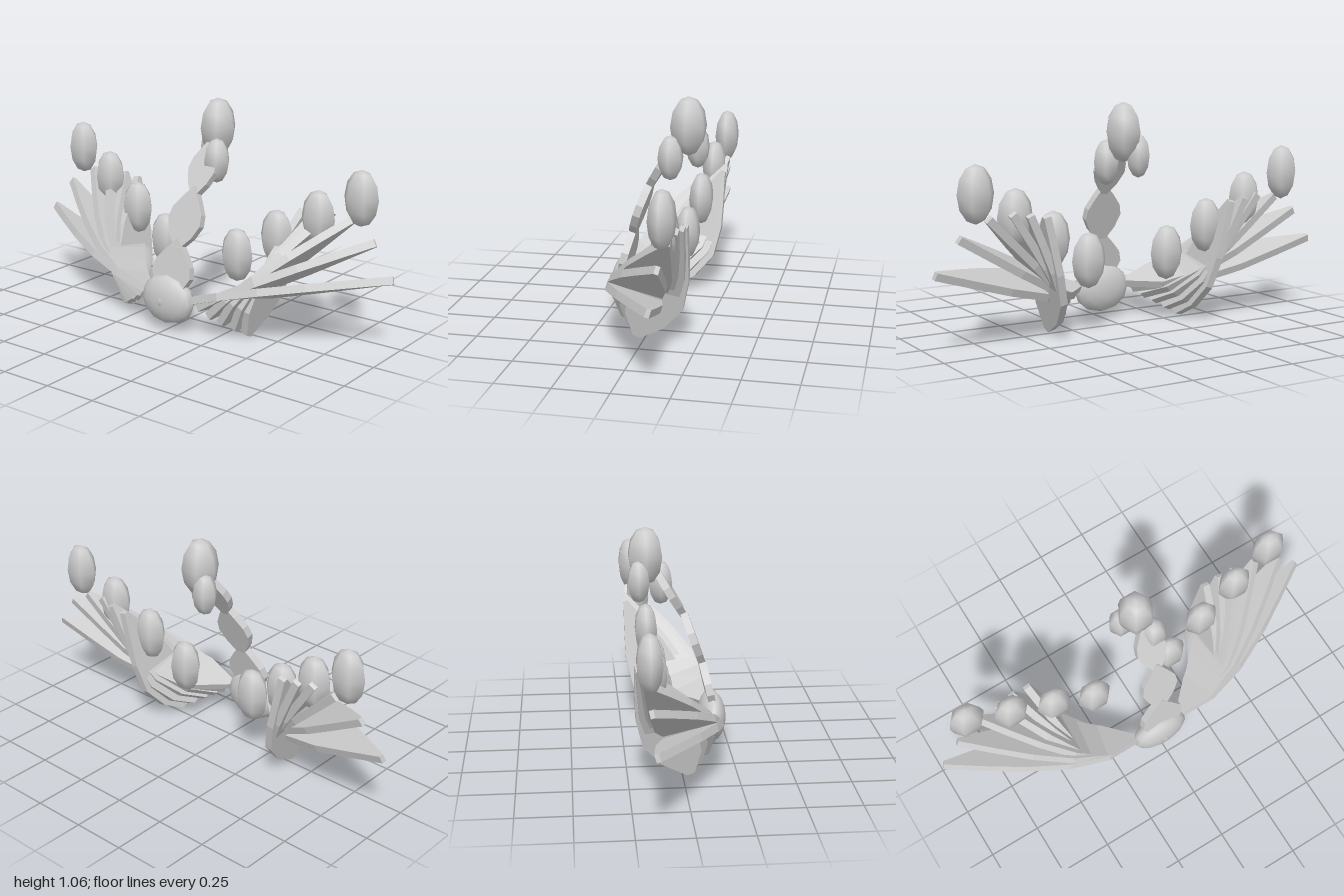
import * as THREE from 'three';

const grey = new THREE.MeshStandardMaterial({ color: 0xcccccc });
grey.name = 'light grey';
const V = (a) => new THREE.Vector3(...a);

// Thick leaf plate from base to tip; profile rows are [t, front half width, back half width]
function leaf(name, base, tip, across, profile, thickness) {
  const a = V(base), axis = V(tip).sub(a), length = axis.length();
  axis.normalize();
  const w = V(across);
  w.addScaledVector(axis, -w.dot(axis)).normalize();
  const n = new THREE.Vector3().crossVectors(axis, w);
  const outline = [
    ...profile.map(([t, , b]) => new THREE.Vector2(t * length, -b)),
    ...profile.map(([t, f]) => new THREE.Vector2(t * length, f)).reverse(),
  ];
  const g = new THREE.ExtrudeGeometry(new THREE.Shape(outline), { depth: thickness, bevelEnabled: false });
  g.translate(0, 0, -thickness / 2);
  g.applyMatrix4(new THREE.Matrix4().makeBasis(axis, w, n).setPosition(a));
  const m = new THREE.Mesh(g, grey);
  m.name = name;
  return m;
}

// Low-poly smooth ellipsoid
function bud(name, pos, radii, ws = 6, hs = 6) {
  const m = new THREE.Mesh(new THREE.SphereGeometry(1, ws, hs), grey);
  m.name = name;
  m.position.set(...pos);
  m.scale.set(...radii);
  return m;
}

export function createModel() {
  const model = new THREE.Group();
  model.name = 'plant';

  // Round core with its pole facing forward, and a small bump
  const core = new THREE.Mesh(new THREE.SphereGeometry(1, 12, 8).rotateX(Math.PI / 2), grey);
  core.name = 'core';
  core.position.set(0, 0.155, 0.17);
  core.scale.set(0.145, 0.12, 0.066);
  model.add(core, bud('coreBump', [0, 0.155, 0.215], [0.03, 0.03, 0.024], 8, 6));

  // Side fans: six leaves on each side, turning from flat to upright
  const fanProfile = [
    [0, 0.015, 0.02], [0.16, 0.09, 0.1], [0.37, 0.112, 0.142],
    [0.6, 0.09, 0.115], [0.8, 0.052, 0.065], [1, 0.008, 0.012],
  ];
  const fan = [
    [[0.13, 0.17, 0.16], [0.995, 0.362, -0.155], [0.33, 0.36, 0.87]],
    [[0.16, 0.14, 0.155], [0.89, 0.51, -0.17], [0.28, 0.37, 0.88]],
    [[0.21, 0.105, 0.14], [0.76, 0.59, -0.19], [0.23, 0.37, 0.89]],
    [[0.26, 0.075, 0.115], [0.65, 0.605, -0.2], [0.18, 0.38, 0.9]],
    [[0.305, 0.045, 0.075], [0.57, 0.595, -0.21], [0.13, 0.38, 0.91]],
    [[0.35, 0.018, 0.04], [0.49, 0.585, -0.21], [0.08, 0.38, 0.92]],
  ];
  for (const [side, label] of [[1, 'left'], [-1, 'right']]) {
    const flip = ([x, y, z]) => [x * side, y, z];
    const group = new THREE.Group();
    group.name = label + 'Fan';
    for (const [base, tip, across] of fan)
      group.add(leaf('fanLeaf', flip(base), flip(tip), flip(across), fanProfile, 0.036));
    // Row of buds rising outward behind the fan
    for (let i = 0; i < 4; i++)
      group.add(bud('sideBud', [side * (0.21 + 0.2 * i), 0.345 + 0.118 * i, -0.085 - 0.03 * i], [0.087, 0.13, 0.062]));
    model.add(group);
  }

  // Central stem: three leaves end to end, shrinking and leaning back
  const stem = [
    [[0.01, 0.16, 0.185], [0.03, 0.44, 0.12], 0.11],
    [[0.03, 0.4, 0.13], [0.06, 0.675, 0.032], 0.093],
    [[0.06, 0.635, 0.045], [0.065, 0.88, -0.1], 0.074],
  ];
  for (const [base, tip, h] of stem) {
    const profile = [[0, 0.2], [0.2, 0.7], [0.42, 1], [0.6, 0.9], [0.8, 0.5], [1, 0.04]]
      .map(([t, k]) => [t, k * h, k * h]);
    model.add(leaf('stemLeaf', base, tip, [1, 0, 0], profile, 0.035));
  }

  // Bud cluster at the top of the stem
  model.add(
    bud('topBud', [0.058, 0.927, -0.138], [0.087, 0.137, 0.089]),
    bud('smallBud', [0.0, 0.82, -0.172], [0.06, 0.1, 0.056]),
    bud('smallBud', [0.105, 0.786, -0.064], [0.065, 0.105, 0.062]),
  );
  return model;
}
